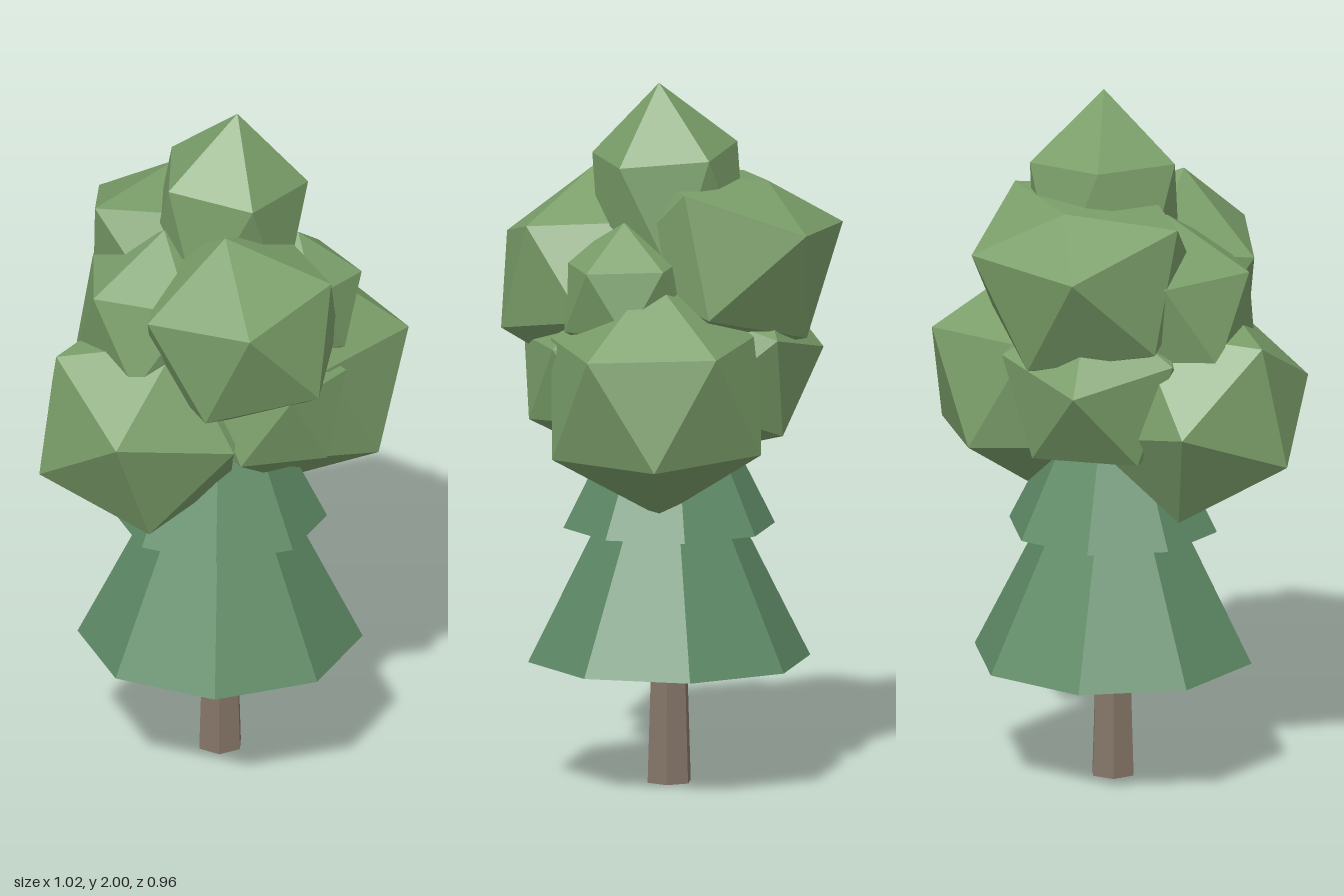
import * as THREE from 'three';

const flat = (name, hex) => {
  const m = new THREE.MeshStandardMaterial({ color: hex, flatShading: true });
  m.name = name;
  return m;
};

export function createModel() {
  const tree = new THREE.Group();
  tree.name = 'tree';
  const bark = flat('bark brown', 0x857568);
  const needle = flat('needle green', 0x5e8a66);
  const leaf = flat('leaf green', 0x7a9e69);

  const add = (name, geometry, material, x, y, z) => {
    const mesh = new THREE.Mesh(geometry, material);
    mesh.name = name;
    mesh.position.set(x, y, z);
    tree.add(mesh);
  };

  // Six-sided tapered trunk
  add('trunk', new THREE.CylinderGeometry(0.05, 0.066, 0.5, 6), bark, -0.01, 0.25, -0.01);

  // Two stacked eight-sided skirts
  add('lowerSkirt', new THREE.ConeGeometry(0.4, 0.8, 8), needle, -0.01, 0.75, -0.01);
  add('upperSkirt', new THREE.ConeGeometry(0.3, 0.6, 8), needle, -0.01, 1.03, -0.01);

  // Icosahedron with a corner at +y and its neighbouring corner towards +z
  const clump = new THREE.IcosahedronGeometry(1, 0);
  clump.rotateX(-Math.atan((1 + Math.sqrt(5)) / 2));

  // Leaf clump: one corner points along tip, the next one leans towards side.
  // Corners higher than ceiling (above the centre) are pressed down to it.
  const addClump = (name, centre, radius, tip, side, { stretch = 1, ceiling = 1 } = {}) => {
    const up = new THREE.Vector3(...tip).normalize();
    const front = new THREE.Vector3(...side).projectOnPlane(up).normalize();
    const right = new THREE.Vector3().crossVectors(up, front);
    const geometry = clump.clone();
    geometry.scale(radius, radius * stretch, radius);
    geometry.applyMatrix4(new THREE.Matrix4().makeBasis(right, up, front));
    const p = geometry.attributes.position;
    for (let i = 0; i < p.count; i++) p.setY(i, Math.min(p.getY(i), ceiling));
    geometry.computeVertexNormals();
    add(name, geometry, leaf, ...centre);
  };

  addClump('topClump', [0.01, 1.64, -0.025], 0.24, [0.08, 1, 0.04], [1, 0, 0], { stretch: 1.5 });
  addClump('frontClump', [0.06, 1.43, 0.19], 0.31, [0.1, 0.33, 0.94], [-0.05, 0.28, 0]);
  addClump('lowerRightClump', [-0.22, 1.11, 0.14], 0.335, [-0.06, 0.055, 0.3], [-0.28, -0.16, -0.02]);
  addClump('lowerLeftClump', [0.2, 1.14, -0.12], 0.345, [0.91, 0.4, 0.02], [0, 1, 0]);
  addClump('backClump', [-0.09, 1.53, -0.15], 0.345, [-0.78, 0.15, -0.59], [0.095, 0.365, 0], { ceiling: 0.19 });
  addClump('smallLeftClump', [0.2, 1.42, -0.015], 0.205, [0.9, 0.4, 0], [0, 1, 0]);
  addClump('smallRightClump', [-0.17, 1.4, 0.08], 0.27, [-0.7, 0.48, 0.55], [0, 1, 0]);
  addClump('lowerFrontClump', [0.13, 1.17, 0.13], 0.24, [0.17, -0.12, 0.12], [-0.07, -0.11, 0.2]);
  addClump('lowerBackClump', [-0.11, 1.2, -0.12], 0.29, [-0.7, 0.1, -0.7], [0, 1, 0]);

  return tree;
}
